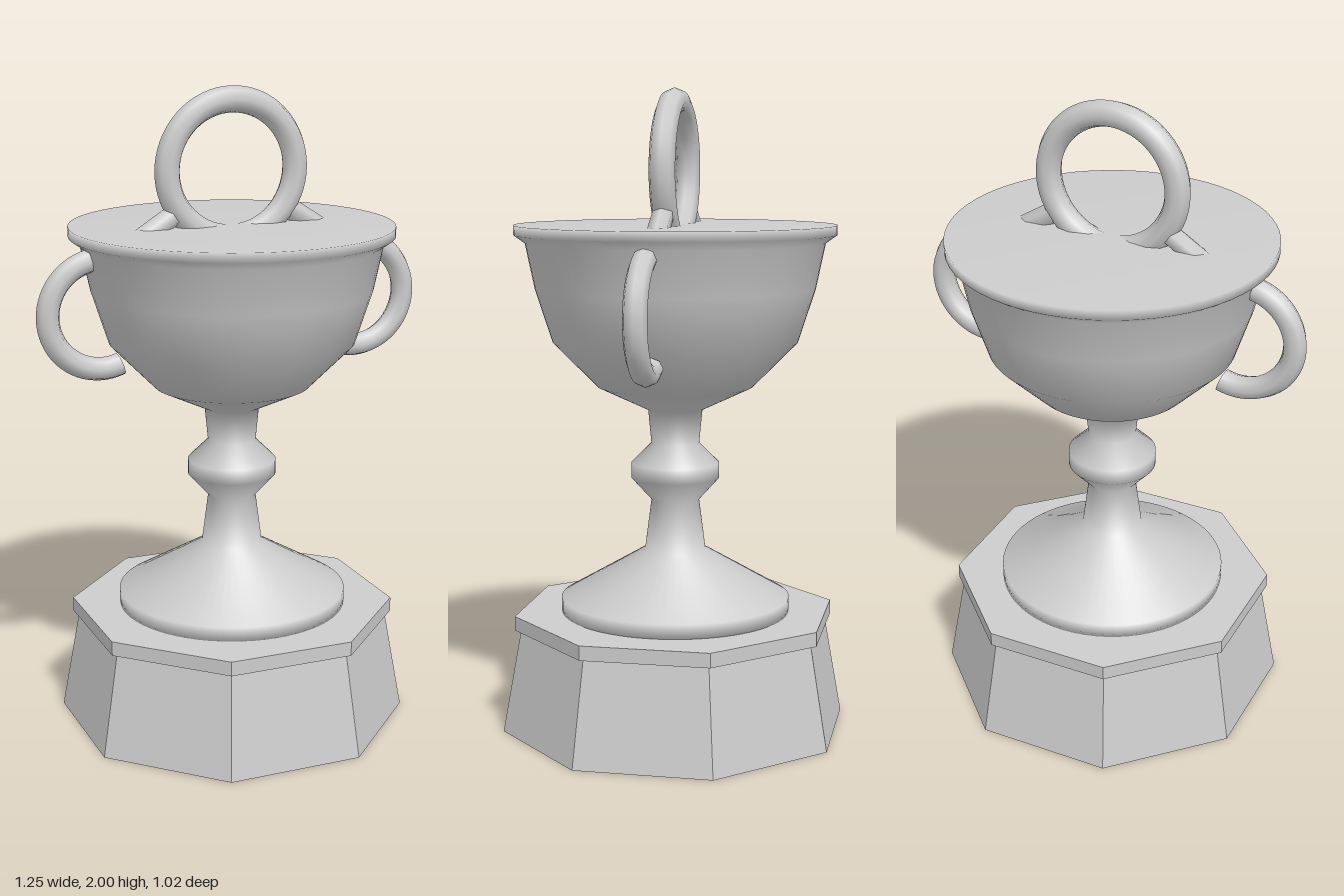
import * as THREE from 'three';

const metal = new THREE.MeshStandardMaterial({ color: 0xcccccc });
metal.name = 'lightGrey';
const openMetal = new THREE.MeshStandardMaterial({ color: 0xcccccc, side: THREE.DoubleSide });
openMetal.name = 'lightGreyOpen';

export function createModel() {
  const group = new THREE.Group();
  group.name = 'trophyCup';

  const add = (name, geometry, material = metal) => {
    const mesh = new THREE.Mesh(geometry, material);
    mesh.name = name;
    group.add(mesh);
    return mesh;
  };

  // Octagonal block with flat faces to the front; radii are measured to the faces
  const octagon = (name, topHalf, bottomHalf, y0, y1) => {
    const k = 1 / Math.cos(Math.PI / 8);
    const geometry = new THREE.CylinderGeometry(topHalf * k, bottomHalf * k, y1 - y0, 8)
      .rotateY(Math.PI / 8)
      .translate(0, (y0 + y1) / 2, 0)
      .toNonIndexed();
    geometry.computeVertexNormals();
    add(name, geometry);
  };
  octagon('plinth', 0.455, 0.51, 0, 0.325);
  octagon('plinthTop', 0.473, 0.473, 0.325, 0.37);

  // Foot, stem with knop, bowl, rim and flat lid turned from one profile
  const profile = [
    [0, 0.365], [0.36, 0.365], [0.36, 0.415],
    [0.095, 0.57], [0.075, 0.725], [0.138, 0.795], [0.138, 0.842], [0.075, 0.905],
    [0.085, 1.01], [0.243, 1.085], [0.381, 1.225], [0.434, 1.39], [0.463, 1.53],
    [0.498, 1.555], [0.498, 1.585], [0, 1.585],
  ].map(([x, y]) => new THREE.Vector2(x, y));
  add('cupBody', new THREE.LatheGeometry(profile, 64));

  // Ring standing on the lid
  add('lidRing', new THREE.TorusGeometry(0.208, 0.04, 8, 64)).position.y = 1.752;

  const arc = THREE.MathUtils.degToRad(220);
  const slope = Math.atan2(-0.535, 0.845);
  for (const side of [1, -1]) {
    const label = side > 0 ? 'left' : 'right';

    // Open C-shaped handle, ends turned towards the bowl
    const handle = add(label + 'Handle', new THREE.TorusGeometry(0.167, 0.036, 8, 40, arc)
      .rotateZ(-arc / 2), openMetal);
    handle.position.set(side * 0.421, 1.339, 0);
    if (side < 0) handle.rotation.y = Math.PI;

    // Six-sided stay sloping from the ring into the lid
    const stay = new THREE.CylinderGeometry(0.034, 0.034, 0.18, 6, 1, false, Math.PI / 2)
      .rotateZ(slope - Math.PI / 2)
      .translate(0.242, 1.588, 0);
    if (side < 0) stay.rotateY(Math.PI);
    add(label + 'Stay', stay);
  }

  return group;
}
